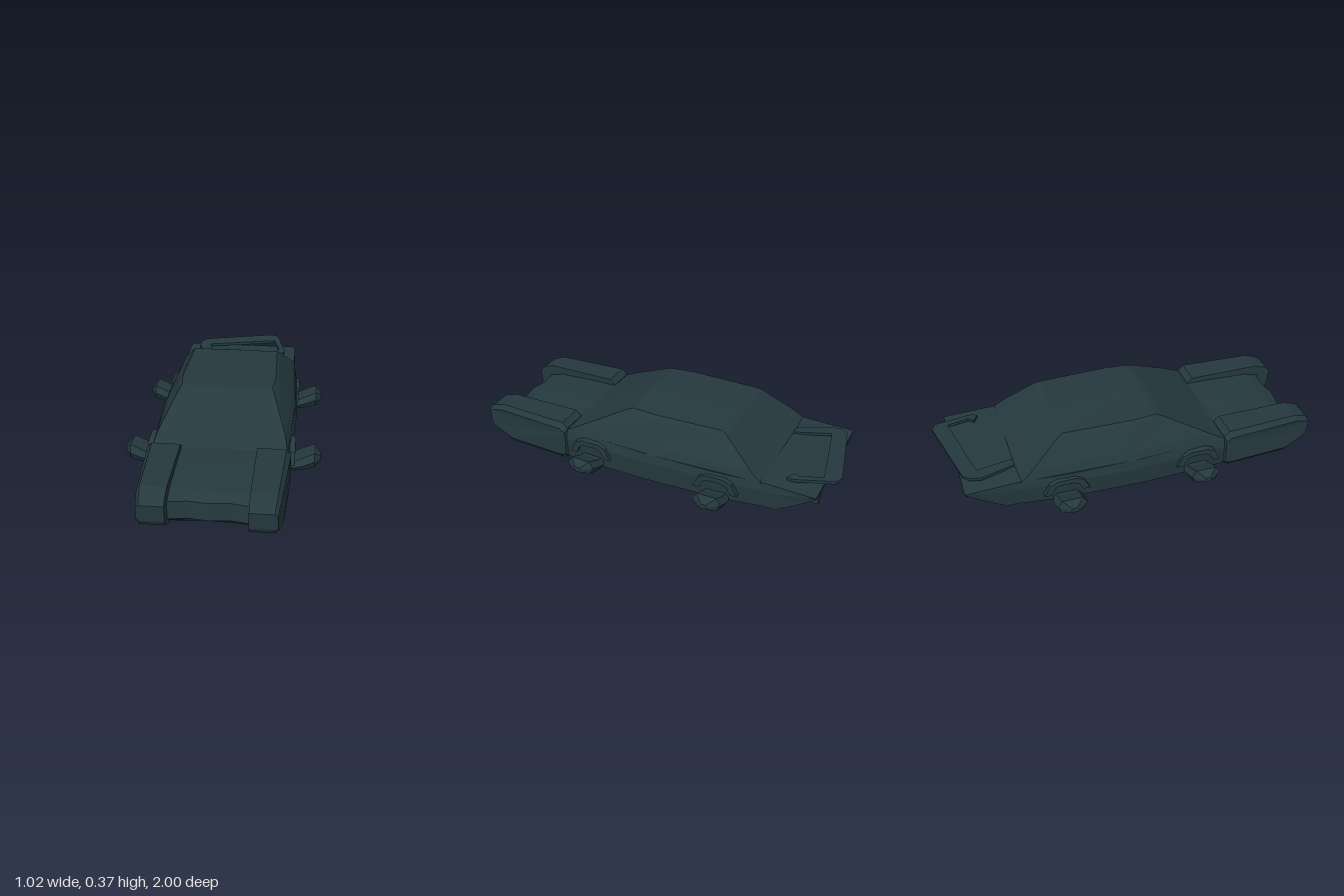
import * as THREE from 'three';

// Skin closed rings of [x, y, z] points, cap both ends, faces outward
function loft(rings) {
  const tris = [];
  const n = rings[0].length;
  for (let r = 0; r < rings.length - 1; r++) {
    const a = rings[r], b = rings[r + 1];
    for (let i = 0; i < n; i++) {
      const j = (i + 1) % n;
      tris.push([a[i], a[j], b[j]], [a[i], b[j], b[i]]);
    }
  }
  const end = rings[rings.length - 1];
  for (let i = 1; i < n - 1; i++) {
    tris.push([rings[0][0], rings[0][i + 1], rings[0][i]], [end[0], end[i], end[i + 1]]);
  }
  let volume = 0;
  for (const [a, b, c] of tris) {
    volume += a[0] * (b[1] * c[2] - b[2] * c[1]) - a[1] * (b[0] * c[2] - b[2] * c[0])
      + a[2] * (b[0] * c[1] - b[1] * c[0]);
  }
  if (volume < 0) tris.forEach((t) => t.reverse());
  const geo = new THREE.BufferGeometry();
  geo.setAttribute('position', new THREE.Float32BufferAttribute(tris.flat(2), 3));
  geo.computeVertexNormals();
  return geo;
}

// Half outline from the top centre to the bottom centre, mirrored into a ring
function mirrorRing(half) {
  const other = half.slice(1, -1).reverse().map(([x, y, z]) => [-x, y, z]);
  return [...half, ...other];
}

export function createModel() {
  const car = new THREE.Group();
  car.name = 'car';
  const paint = new THREE.MeshStandardMaterial({ color: 0x25393f, flatShading: true });
  paint.name = 'dark teal';
  const add = (name, geo) => {
    const mesh = new THREE.Mesh(geo, paint);
    mesh.name = name;
    car.add(mesh);
    return mesh;
  };

  // Lower body: z, top y, top width, side width, sill y, bottom y
  const stations = [
    [0.47, 0.2, 0.335, 0.35, 0.03, 0.022],
    [0.3, 0.2, 0.345, 0.36, 0.032, 0.02],
    [0, 0.2, 0.36, 0.37, 0.036, 0.015],
    [-0.4, 0.2, 0.355, 0.365, 0.045, 0.01],
    [-0.63, 0.2, 0.335, 0.345, 0.055, 0.005],
    [-0.65, 0.2, 0.335, 0.34, 0.055, 0.022],
    [-0.72, 0.198, 0.335, 0.34, 0.055, 0.014],
    [-0.85, 0.194, 0.335, 0.335, 0.13, 0.115],
    [-0.92, 0.192, 0.335, 0.335, 0.182, 0.172],
  ];
  add('lowerBody', loft(stations.map(([z, top, tw, sw, sill, low]) => mirrorRing([
    [0, top, z], [tw, top, z], [sw, top - (top - sill) * 0.3, z],
    [sw - 0.01, sill, z], [0.22, low, z], [0, low + 0.012, z],
  ]))));

  // Cabin: base, shoulder and roof outlines
  const outline = (y, w, front, back, bow) => [
    [0, y + bow, front], [w - 0.01, y, front], [w + bow, y, front * 0.35 + back * 0.65 + 0.2],
    [w - 0.01, y, back], [0, y + bow, back],
    [-w + 0.01, y, back], [-w - bow, y, front * 0.35 + back * 0.65 + 0.2], [-w + 0.01, y, front],
  ];
  add('cabin', loft([
    outline(0.195, 0.35, 0.475, -0.64, 0.012),
    outline(0.24, 0.335, 0.39, -0.58, 0.006),
    outline(0.362, 0.262, 0.15, -0.42, 0.004),
    outline(0.376, 0.25, 0.11, -0.39, 0.002),
  ]));

  // Bonnet with a sloped nose and a chamfered chin
  const bonnet = [
    [0.46, 0.2], [0.6, 0.2], [0.84, 0.188], [0.92, 0.165],
    [0.925, 0.075], [0.85, 0.018], [0.46, 0.016],
  ];
  add('bonnet', loft([-0.21, -0.1, 0, 0.1, 0.21].map((x) => {
    const mid = 1 - Math.abs(x) / 0.21;
    return bonnet.map(([z, y]) => [
      x,
      y + mid * (y < 0.05 ? 0.012 : 0.005),
      z - (z > 0.9 ? 0.015 * Math.sin(mid * Math.PI) : 0),
    ]);
  })));

  // Front wings beside the bonnet
  const wing = [
    [0.47, 0.205], [0.5, 0.233], [0.9, 0.233], [0.965, 0.208], [0.99, 0.185],
    [0.985, 0.1], [0.965, 0.07], [0.85, 0.01], [0.5, 0.01], [0.47, 0.03],
  ];
  const wingRing = (x, inset, taper) => wing.map(([z, y]) => [
    x - taper * Math.max(0, (z - 0.72) / 0.28),
    0.12 + (y - 0.12) * (1 - inset),
    0.73 + (z - 0.73) * (1 - inset * 0.1),
  ]);
  for (const side of [1, -1]) {
    const rings = [wingRing(0.19, 0, 0), wingRing(0.335, 0, 0.03), wingRing(0.358, 0.25, 0.038)];
    add(side > 0 ? 'leftWing' : 'rightWing',
      loft(rings.map((ring) => ring.map(([x, y, z]) => [side * x, y, side > 0 && z > 0.95 ? z + 0.01 : z]))));
  }

  // Wheel stubs flaring outwards, each under a faceted arch
  const stub = [
    [0.32, 0.035, 0.085, 0.06], [0.375, 0.038, 0.09, 0.08], [0.425, 0.046, 0.115, 0.08],
    [0.475, 0.062, 0.138, 0.076], [0.508, 0.08, 0.105, 0.018],
  ];
  const arch = [
    [-0.12, 0.105], [-0.09, 0.168], [-0.045, 0.186], [0.045, 0.186], [0.09, 0.168], [0.12, 0.105],
  ];
  for (const [place, z0] of [['front', 0.31], ['rear', -0.41]]) {
    for (const side of [1, -1]) {
      const tag = place + (side > 0 ? 'Left' : 'Right');
      add(tag + 'Wheel', loft(stub.map(([x, lo, hi, w]) => [
        [side * x, lo, z0 - w * 0.75], [side * x, lo, z0 + w * 0.75],
        [side * x, (lo + hi) / 2, z0 + w], [side * x, hi, z0 + w * 0.7],
        [side * x, hi, z0 - w * 0.7], [side * x, (lo + hi) / 2, z0 - w],
      ])));
      // Each ring is one radial slice of the arch band
      add(tag + 'Arch', loft(arch.map(([z, y]) => [
        [side * 0.33, y, z0 + z], [side * 0.376, y - 0.006, z0 + z],
        [side * 0.376, 0.09 + (y - 0.09) * 0.65, z0 + z * 0.7],
        [side * 0.33, 0.09 + (y - 0.09) * 0.65, z0 + z * 0.7],
      ])));
    }
  }

  // Skewed rear spoiler: an open frame rising to the back
  const frame = new THREE.Shape([
    [-0.205, 0.64], [-0.27, 0.82], [-0.265, 0.875], [-0.235, 0.91], [0.18, 1], [0.22, 0.98],
    [0.27, 0.78], [0.26, 0.745], [0.215, 0.77], [0.235, 0.8], [0.2, 0.915], [-0.205, 0.835], [-0.155, 0.64],
  ].map(([x, y]) => new THREE.Vector2(x, y)));
  const spoiler = new THREE.ExtrudeGeometry(frame, { depth: 0.016, bevelEnabled: false });
  spoiler.rotateX(-Math.PI / 2);
  const p = spoiler.attributes.position;
  for (let i = 0; i < p.count; i++) p.setY(i, p.getY(i) + 0.192 + (-p.getZ(i) - 0.64) * 0.085);
  spoiler.computeVertexNormals();
  add('spoiler', spoiler);

  // Exhaust pipes
  for (const side of [1, -1]) {
    const pipe = add(side > 0 ? 'leftExhaust' : 'rightExhaust',
      new THREE.CylinderGeometry(0.022, 0.022, 0.13, 6).rotateX(Math.PI / 2));
    pipe.position.set(side * 0.19, 0.088, -0.815);
    const rim = add(side > 0 ? 'leftExhaustTip' : 'rightExhaustTip',
      new THREE.CylinderGeometry(0.032, 0.032, 0.035, 6).rotateX(Math.PI / 2));
    rim.position.set(side * 0.19, 0.088, -0.885);
  }
  return car;
}
